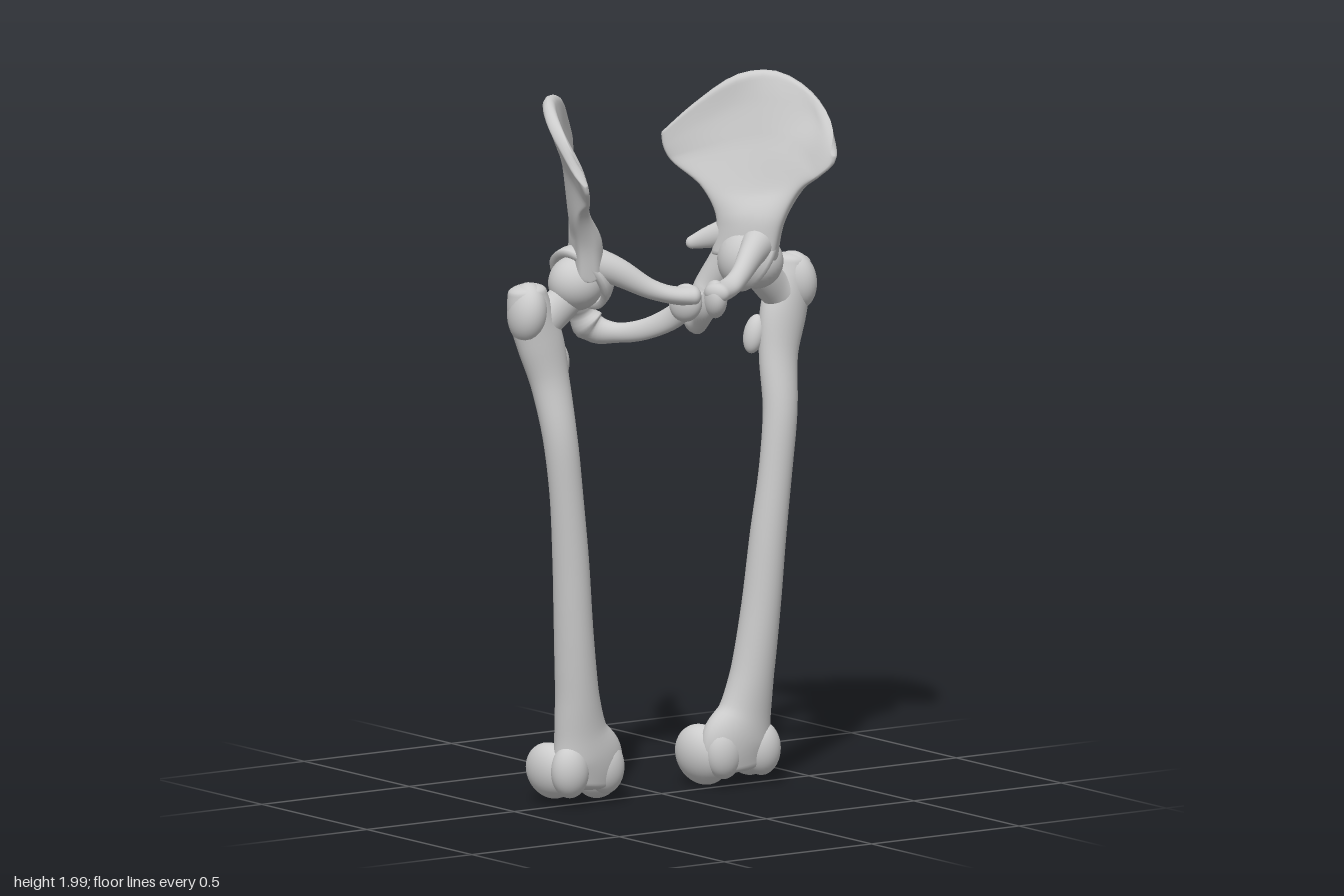
import * as THREE from 'three';

const material = new THREE.MeshStandardMaterial({ color: 0xcccccc, roughness: 0.8 });
const cupMaterial = new THREE.MeshStandardMaterial({ color: 0xcccccc, roughness: 0.8, side: THREE.DoubleSide });
const V = (p) => new THREE.Vector3(p[0], p[1], p[2]);
const spline = (pts) => new THREE.CatmullRomCurve3(pts.map(V), false, 'centripetal');

// Smooth skin over closed rings: at(v, angle) gives a point
function skin(rows, cols, at) {
  const pos = [], index = [];
  for (let i = 0; i <= rows; i++) {
    const v = (1 - Math.cos((Math.PI * i) / rows)) / 2;
    for (let j = 0; j < cols; j++) pos.push(...at(v, (j / cols) * Math.PI * 2).toArray());
  }
  for (let i = 0; i < rows; i++) {
    for (let j = 0; j < cols; j++) {
      const a = i * cols + j, b = i * cols + ((j + 1) % cols), c = a + cols, d = b + cols;
      index.push(a, b, c, b, d, c);
    }
  }
  const g = new THREE.BufferGeometry();
  g.setAttribute('position', new THREE.Float32BufferAttribute(pos, 3));
  g.setIndex(index);
  g.computeVertexNormals();
  return g;
}

// Fades a radius to zero at both ends with a rounded cap
function capped(v, start, end) {
  const a = Math.max(0, 1 - v / start), b = Math.max(0, 1 - (1 - v) / end);
  return Math.sqrt(Math.max(0, 1 - a * a)) * Math.sqrt(Math.max(0, 1 - b * b));
}

// Elliptical sweep; stations are [x, y, z, sideRadius, otherRadius]
function sweep(stations, ref, rows = 48, cap = 0.08) {
  const path = spline(stations);
  const radii = new THREE.CatmullRomCurve3(stations.map((s) => new THREE.Vector3(s[3], s[4], 0)));
  return skin(rows, 28, (v, angle) => {
    const t = path.getTangent(v);
    const side = t.clone().cross(ref).normalize();
    const other = side.clone().cross(t);
    const r = radii.getPoint(v).multiplyScalar(capped(v, cap, cap));
    return path.getPoint(v)
      .addScaledVector(side, r.x * Math.cos(angle))
      .addScaledVector(other, -r.y * Math.sin(angle));
  });
}

function ellipsoid(center, radii, tilt = [0, 0, 0]) {
  const g = new THREE.SphereGeometry(1, 32, 24);
  g.scale(...radii);
  g.rotateX(tilt[0]).rotateY(tilt[1]).rotateZ(tilt[2]);
  return g.translate(...center);
}

// Flared hip blade: rows run front to back, from the socket up to the crest
function iliumBlade() {
  const rows = [
    [[0.315, 1.48, 0.10], [0.29, 1.48, 0.06], [0.27, 1.48, 0.02], [0.25, 1.48, -0.03], [0.235, 1.48, -0.075]],
    [[0.335, 1.59, 0.115], [0.305, 1.59, 0.08], [0.28, 1.59, 0.03], [0.26, 1.59, -0.01], [0.24, 1.59, -0.06]],
    [[0.37, 1.68, 0.15], [0.345, 1.67, 0.10], [0.305, 1.66, 0.03], [0.255, 1.66, -0.04], [0.215, 1.665, -0.10]],
    [[0.39, 1.72, 0.20], [0.385, 1.77, 0.14], [0.34, 1.80, 0.03], [0.25, 1.77, -0.09], [0.17, 1.735, -0.195]],
    [[0.415, 1.755, 0.23], [0.425, 1.83, 0.19], [0.425, 1.88, 0.12], [0.33, 1.90, -0.03], [0.225, 1.83, -0.145], [0.16, 1.77, -0.215]],
    [[0.42, 1.78, 0.235], [0.448, 1.86, 0.18], [0.44, 1.94, 0.10], [0.39, 1.99, 0.0], [0.31, 1.98, -0.07], [0.23, 1.90, -0.155], [0.16, 1.81, -0.225]],
  ].map(spline);
  const half = [0.045, 0.04, 0.027, 0.013, 0.015, 0.019];
  const surface = (u, v) => new THREE.CatmullRomCurve3(rows.map((r) => r.getPoint(u))).getPoint(v);
  return skin(44, 56, (v, angle) => {
    const u = (1 - Math.cos(angle)) / 2, e = 0.01;
    const uc = Math.min(1 - e, Math.max(e, u)), vc = Math.min(1 - e, Math.max(e, v));
    const du = surface(uc + e, vc).sub(surface(uc - e, vc));
    const dv = surface(uc, vc + e).sub(surface(uc, vc - e));
    const k = Math.min(4.999, v * 5), i = Math.floor(k);
    const thick = THREE.MathUtils.lerp(half[i], half[i + 1], k - i) * (1 + 0.9 * u ** 6 * v) * capped(v, 0.02, 0.05);
    const s = Math.sin(angle);
    return surface(u, v).addScaledVector(du.cross(dv).normalize(), thick * Math.sign(s) * Math.sqrt(Math.abs(s)));
  });
}

// Hollow hip socket, opening outward and down
function socket() {
  const profile = [];
  for (let i = 0; i <= 14; i++) {
    const a = -Math.PI / 2 + (i / 14) * 1.6;
    profile.push(new THREE.Vector2(0.1 * Math.cos(a), 0.1 * Math.sin(a)));
  }
  for (let i = 14; i >= 0; i--) {
    const a = -Math.PI / 2 + (i / 14) * 1.6;
    profile.push(new THREE.Vector2(0.082 * Math.cos(a), 0.082 * Math.sin(a)));
  }
  const aim = new THREE.Quaternion().setFromUnitVectors(V([0, 1, 0]), V([0.82, -0.5, 0.1]).normalize());
  return new THREE.LatheGeometry(profile, 36).applyQuaternion(aim).translate(0.297, 1.475, 0.02);
}

const X = V([1, 0, 0]), Y = V([0, 1, 0]), Z = V([0, 0, 1]);

function parts() {
  return {
    hipBone: {
      iliumBlade: iliumBlade(),
      hipSocket: socket(),
      upperPubicBranch: sweep([
        [0.29, 1.53, 0.06, 0.05, 0.05], [0.23, 1.505, 0.105, 0.036, 0.04],
        [0.15, 1.455, 0.155, 0.028, 0.028], [0.09, 1.435, 0.185, 0.036, 0.025],
        [0.02, 1.43, 0.215, 0.04, 0.03]], Y),
      pubicBody: ellipsoid([0.05, 1.41, 0.185], [0.032, 0.055, 0.05], [0.5, -0.35, 0]),
      lowerBranch: sweep([
        [0.045, 1.43, 0.2, 0.03, 0.025], [0.045, 1.375, 0.145, 0.034, 0.024],
        [0.085, 1.325, 0.06, 0.03, 0.02], [0.13, 1.305, -0.02, 0.028, 0.024],
        [0.175, 1.315, -0.08, 0.042, 0.036], [0.215, 1.375, -0.095, 0.042, 0.036],
        [0.245, 1.45, -0.06, 0.045, 0.04], [0.265, 1.53, -0.01, 0.05, 0.04]], X, 64, 0.05),
      ischialSpine: sweep([
        [0.25, 1.55, -0.03, 0.03, 0.04], [0.21, 1.53, -0.075, 0.022, 0.03],
        [0.165, 1.51, -0.115, 0.012, 0.014]], Y, 24, 0.1),
    },
    thighBone: {
      shaft: sweep([
        [0.26, 0.04, -0.005, 0.10, 0.05], [0.255, 0.12, 0.0, 0.115, 0.062],
        [0.28, 0.21, 0.005, 0.078, 0.06], [0.298, 0.32, 0.015, 0.062, 0.058],
        [0.318, 0.5, 0.027, 0.054, 0.056], [0.335, 0.7, 0.037, 0.05, 0.052],
        [0.357, 0.9, 0.045, 0.047, 0.046], [0.374, 1.05, 0.04, 0.049, 0.047],
        [0.388, 1.2, 0.012, 0.058, 0.048], [0.412, 1.31, 0.0, 0.07, 0.054],
        [0.44, 1.4, -0.01, 0.064, 0.06], [0.45, 1.475, -0.012, 0.05, 0.05]], Z, 80, 0.025),
      greaterTrochanter: ellipsoid([0.452, 1.395, -0.005], [0.054, 0.085, 0.07], [0, 0.3, 0.1]),
      lesserTrochanter: ellipsoid([0.332, 1.255, -0.025], [0.028, 0.055, 0.032], [0, 0, -0.25]),
      neck: sweep([
        [0.44, 1.345, 0.0, 0.05, 0.065], [0.38, 1.385, 0.005, 0.043, 0.052],
        [0.33, 1.43, 0.015, 0.045, 0.05], [0.29, 1.47, 0.02, 0.05, 0.05]], Y, 28),
      head: ellipsoid([0.305, 1.468, 0.02], [0.077, 0.077, 0.077]),
      innerCondyle: ellipsoid([0.178, 0.087, -0.055], [0.062, 0.086, 0.09], [0.15, 0.1, 0.2]),
      outerCondyle: ellipsoid([0.335, 0.093, -0.055], [0.055, 0.078, 0.09], [0.1, -0.05, -0.1]),
      innerKneeRidge: ellipsoid([0.2, 0.1, 0.015], [0.055, 0.075, 0.045]),
      outerKneeRidge: ellipsoid([0.325, 0.1, 0.02], [0.055, 0.075, 0.05]),
    },
  };
}

// Reflects a geometry in x and restores its face order
function mirrored(geometry) {
  const g = geometry.clone().scale(-1, 1, 1), ix = g.index;
  for (let i = 0; i < ix.count; i += 3) {
    const a = ix.getX(i);
    ix.setX(i, ix.getX(i + 1));
    ix.setX(i + 1, a);
  }
  return g;
}

export function createModel() {
  const model = new THREE.Group();
  model.name = 'hipAndThighBones';
  const bones = parts();
  for (const side of ['left', 'right']) {
    for (const [boneName, pieces] of Object.entries(bones)) {
      const bone = new THREE.Group();
      bone.name = side + boneName[0].toUpperCase() + boneName.slice(1);
      for (const [name, geometry] of Object.entries(pieces)) {
        const g = side === 'left' ? geometry : mirrored(geometry);
        const mesh = new THREE.Mesh(g, name === 'hipSocket' ? cupMaterial : material);
        mesh.name = name;
        bone.add(mesh);
      }
      model.add(bone);
    }
  }
  return model;
}
